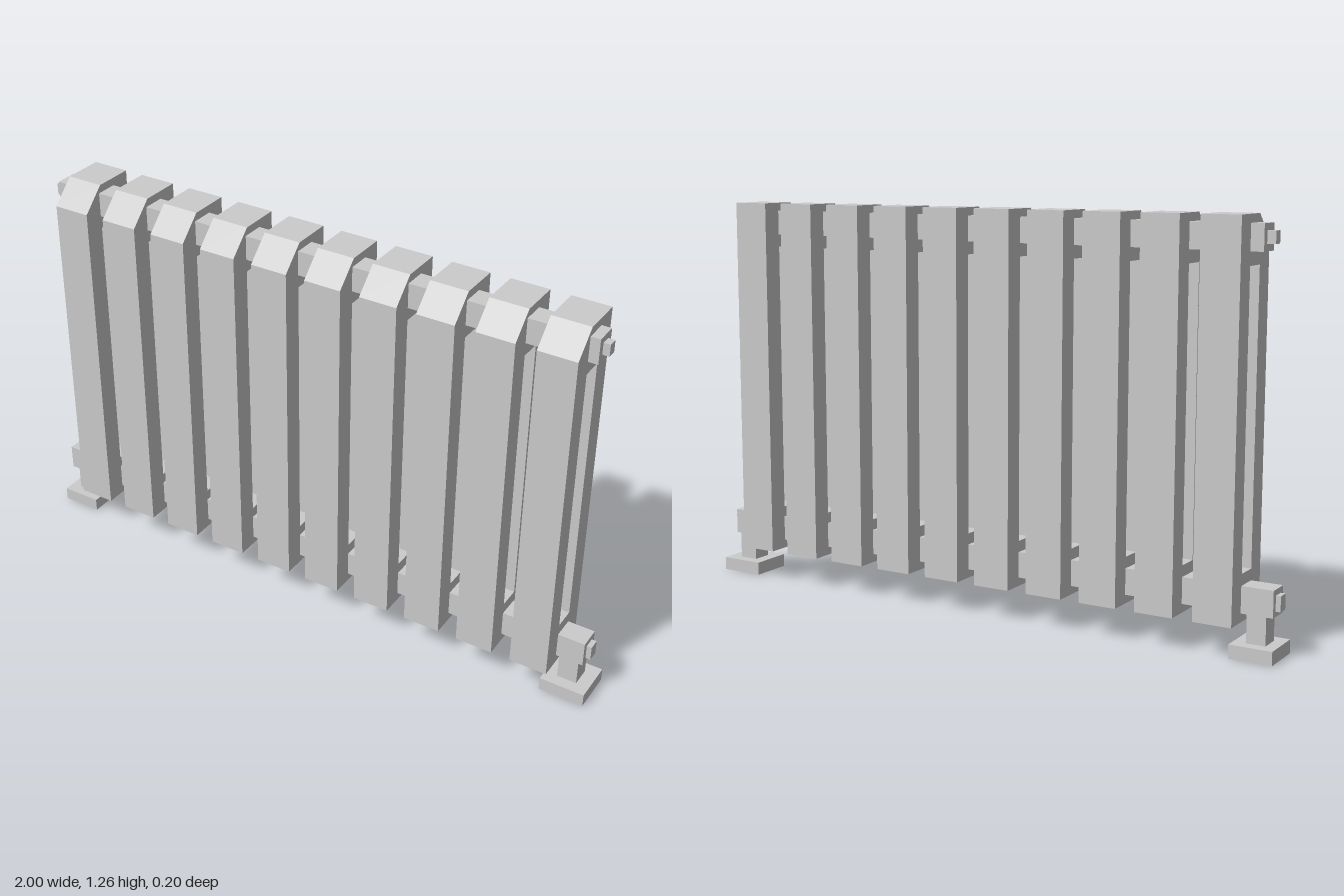
import * as THREE from 'three';

const material = new THREE.MeshStandardMaterial({ color: 0xcccccc, flatShading: true });
const openMaterial = material.clone();
openMaterial.side = THREE.DoubleSide;

// Box given by its [min, max] range on each axis
function box(name, [x0, x1], [y0, y1], [z0, z1], mat = material) {
  const mesh = new THREE.Mesh(new THREE.BoxGeometry(x1 - x0, y1 - y0, z1 - z0), mat);
  mesh.position.set((x0 + x1) / 2, (y0 + y1) / 2, (z0 + z1) / 2);
  mesh.name = name;
  return mesh;
}

// Radiator column: side profile with chamfered front top and a long slot
function sectionGeometry(width) {
  const points = (list) => list.map(([z, y]) => new THREE.Vector2(-z, y));
  const profile = new THREE.Shape(points([
    [0.102, 0.1], [-0.102, 0.1], [-0.102, 1.26], [0.028, 1.26], [0.102, 1.187],
  ]));
  profile.holes.push(new THREE.Path(points([
    [0.035, 0.243], [0.035, 1.117], [-0.035, 1.117], [-0.035, 0.243],
  ])));
  const geometry = new THREE.ExtrudeGeometry(profile, { depth: width, bevelEnabled: false });
  geometry.translate(0, 0, -width / 2);
  return geometry.rotateY(Math.PI / 2);
}

// Foot: square leg on a shallow plate that is open underneath
function foot(name, legX, plateX) {
  const group = new THREE.Group();
  group.name = name;
  const plate = box('footPlate', plateX, [0, 0.042], [-0.072, 0.066], openMaterial);
  const index = Array.from(plate.geometry.index.array);
  index.splice(18, 6); // drop the bottom face
  plate.geometry.setIndex(index);
  plate.geometry.clearGroups();
  group.add(plate, box('footLeg', legX, [0.042, 0.135], [-0.036, 0.028]));
  return group;
}

export function createModel() {
  const radiator = new THREE.Group();
  radiator.name = 'radiator';

  // Row of ten columns
  const geometry = sectionGeometry(0.121);
  for (let i = 0; i < 10; i++) {
    const section = new THREE.Mesh(geometry, material);
    section.position.x = (i - 4.5) * 0.1837;
    section.name = `section${i + 1}`;
    radiator.add(section);
  }

  // Square pipes through the columns, with a small plug at each end
  radiator.add(
    box('topPipe', [-0.927, 0.917], [1.157, 1.235], [-0.036, 0.036]),
    box('topPlugRight', [-0.953, -0.927], [1.178, 1.215], [-0.015, 0.015]),
    box('topPlugLeft', [0.917, 0.938], [1.178, 1.215], [-0.015, 0.015]),
    box('bottomPipe', [-0.985, 0.974], [0.127, 0.208], [-0.036, 0.036]),
    box('bottomPlugRight', [-1, -0.985], [0.143, 0.19], [-0.018, 0.018]),
    box('bottomPlugLeft', [0.974, 0.99], [0.143, 0.19], [-0.018, 0.018]),
  );

  // Feet at both ends
  radiator.add(
    foot('rightFoot', [-0.965, -0.906], [-1, -0.867]),
    foot('leftFoot', [0.895, 0.958], [0.855, 1]),
  );
  return radiator;
}
